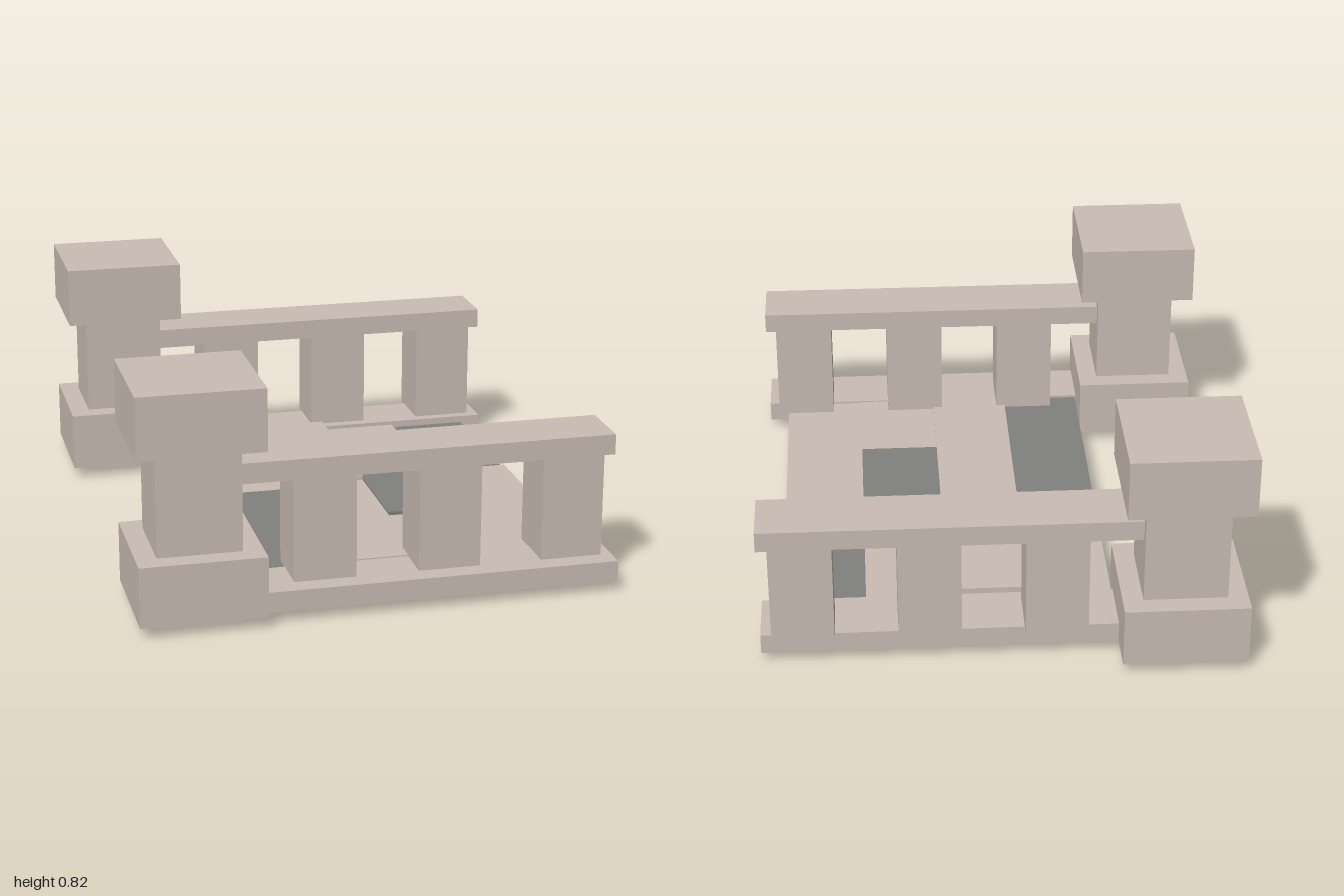
import * as THREE from 'three';

export function createModel() {
  const model = new THREE.Group();
  const stone = new THREE.MeshStandardMaterial({ color: 0xcabcb3 });
  stone.name = 'paleStone';
  const slate = new THREE.MeshStandardMaterial({ color: 0x80807e });
  slate.name = 'darkSlate';
  // slab with only its upper face dark
  const darkTop = [stone, stone, slate, stone, stone, stone];

  // box given by its limits on each axis
  function box(name, [x0, x1], [y0, y1], [z0, z1], material = stone, parent = model) {
    const mesh = new THREE.Mesh(new THREE.BoxGeometry(x1 - x0, y1 - y0, z1 - z0), material);
    mesh.position.set((x0 + x1) / 2, (y0 + y1) / 2, (z0 + z1) / 2);
    mesh.name = name;
    parent.add(mesh);
  }

  // one side: end pillar, rails and balusters
  const sides = [
    { name: 'front', pillar: 0.787, rail: [0.68, 0.892], sill: [0.752, 0.962] },
    { name: 'back', pillar: -0.787, rail: [-0.895, -0.682], sill: [-0.857, -0.645] },
  ];
  for (const { name, pillar, rail, sill } of sides) {
    const side = new THREE.Group();
    side.name = name + 'Balustrade';
    model.add(side);
    const wide = [pillar - 0.213, pillar + 0.213];
    const narrow = [pillar - 0.142, pillar + 0.142];
    box('pillarShaft', [-0.75, -0.465], [0, 0.615], narrow, stone, side);
    box('pillarBase', [-0.82, -0.395], [0.04, 0.25], wide, stone, side);
    box('pillarCap', [-0.82, -0.395], [0.61, 0.823], wide, stone, side);
    box('handRail', [-0.466, 0.82], [0.467, 0.538], rail, stone, side);
    box('bottomRail', [-0.396, 0.82], [0.038, 0.109], sill, stone, side);
    for (const x of [-0.287, 0.141, 0.569]) {
      box('baluster', [x, x + 0.213], [0.105, 0.468], rail, stone, side);
    }
  }

  // uneven deck slabs in four columns: column, top height, z limits, material
  const columns = [-0.391, -0.107, 0.176, 0.461, 0.746];
  const slabs = [
    [0, 0.1, [-0.65, -0.005], stone],
    [0, 0.1, [-0.005, 0.755], darkTop],
    [1, 0.13, [-0.645, -0.003], stone],
    [1, 0.113, [-0.003, 0.755], stone],
    [2, 0.095, [-0.785, -0.218], stone],
    [2, 0.118, [-0.218, 0.357], slate],
    [2, 0.105, [0.357, 0.755], stone],
    [3, 0.084, [-0.645, -0.073], darkTop],
    [3, 0.101, [-0.073, 0.755], stone],
  ];
  for (const [column, top, z, material] of slabs) {
    box('deckSlab', [columns[column], columns[column + 1]], [top - 0.075, top], z, material);
  }
  return model;
}
